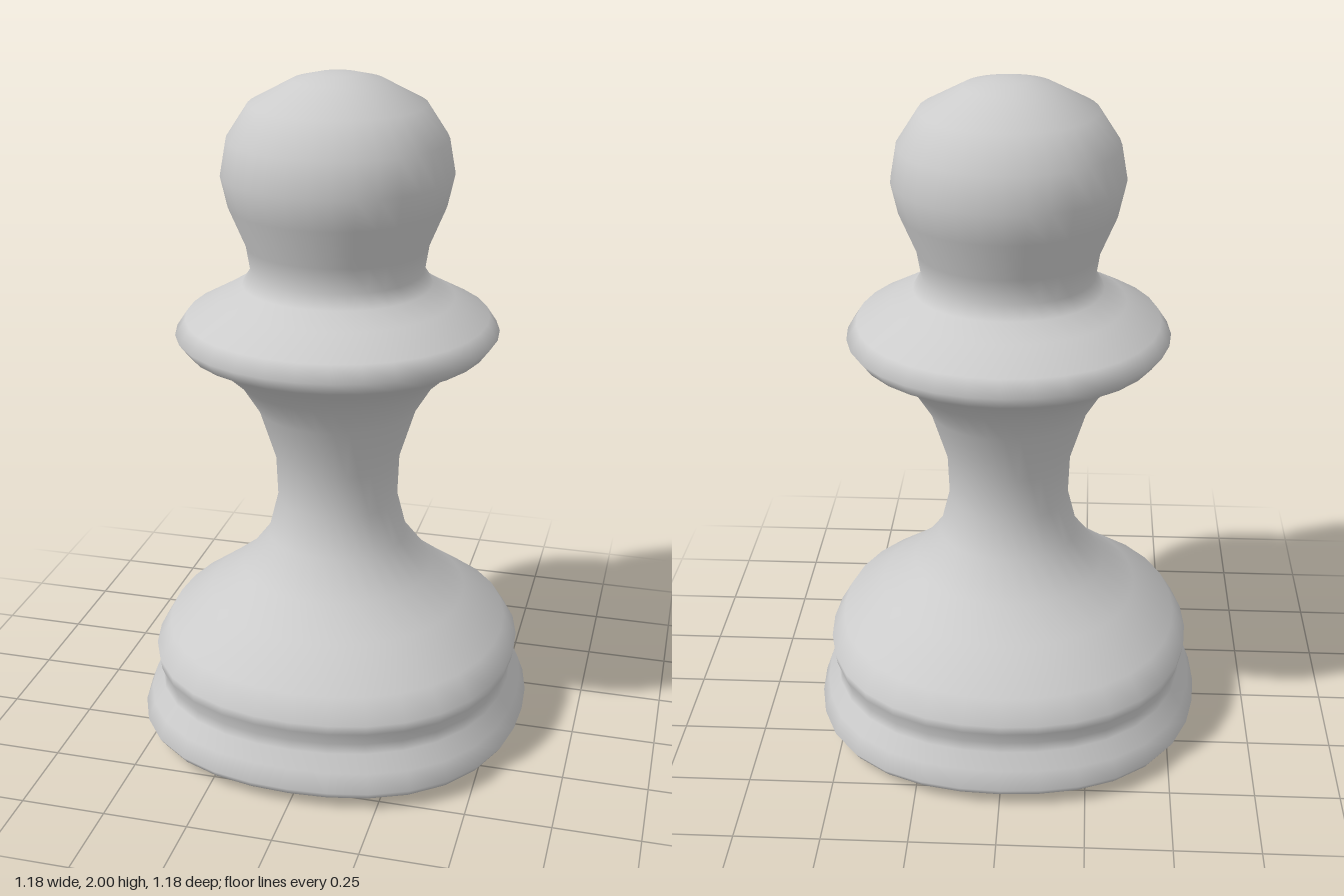
import * as THREE from 'three';
import { mergeVertices } from 'three/addons/utils/BufferGeometryUtils.js';

// Turned profile as [radius, height], bottom to top
const PROFILE = [
  // foot
  [0, 0], [0.2, 0.004], [0.4, 0.012], [0.53, 0.025], [0.575, 0.037], [0.59, 0.06], [0.57, 0.115],
  [0.54, 0.16], [0.535, 0.19], [0.55, 0.23], [0.555, 0.26],
  // flare and stem
  [0.515, 0.33], [0.39, 0.425], [0.29, 0.505], [0.21, 0.61], [0.18, 0.73], [0.185, 0.86],
  [0.235, 1.02], [0.29, 1.11], [0.365, 1.18],
  // collar
  [0.44, 1.22], [0.47, 1.26], [0.44, 1.305], [0.34, 1.36], [0.275, 1.40],
  // neck and head
  [0.25, 1.44], [0.262, 1.515], [0.31, 1.63], [0.33, 1.72], [0.312, 1.82], [0.25, 1.915],
  [0.127, 1.98], [0.06, 1.996], [0, 2],
];

// How far the section bulges along its diagonals, strongest at the foot
function squareness(y) {
  if (y < 0.15) return 0.052;
  return THREE.MathUtils.lerp(0.04, 0.013, THREE.MathUtils.smoothstep(y, 0.15, 0.5));
}

export function createModel() {
  const group = new THREE.Group();
  group.name = 'pawn';

  const points = PROFILE.map(([r, y]) => new THREE.Vector2(r, y));
  let geometry = new THREE.LatheGeometry(points, 32);

  // Push the round section out towards a softly rounded square
  const pos = geometry.attributes.position;
  for (let i = 0; i < pos.count; i++) {
    const x = pos.getX(i), y = pos.getY(i), z = pos.getZ(i);
    const s = 1 + squareness(y) * (1 - Math.cos(4 * Math.atan2(z, x))) / 2;
    pos.setXYZ(i, x * s, y, z * s);
  }

  // Weld the seam and poles so the shading is smooth all round
  geometry.deleteAttribute('uv');
  geometry.deleteAttribute('normal');
  geometry = mergeVertices(geometry, 1e-4);
  geometry.computeVertexNormals();

  const body = new THREE.Mesh(geometry, new THREE.MeshStandardMaterial({ color: 0xcccccc }));
  body.name = 'pawnBody';
  group.add(body);
  return group;
}
